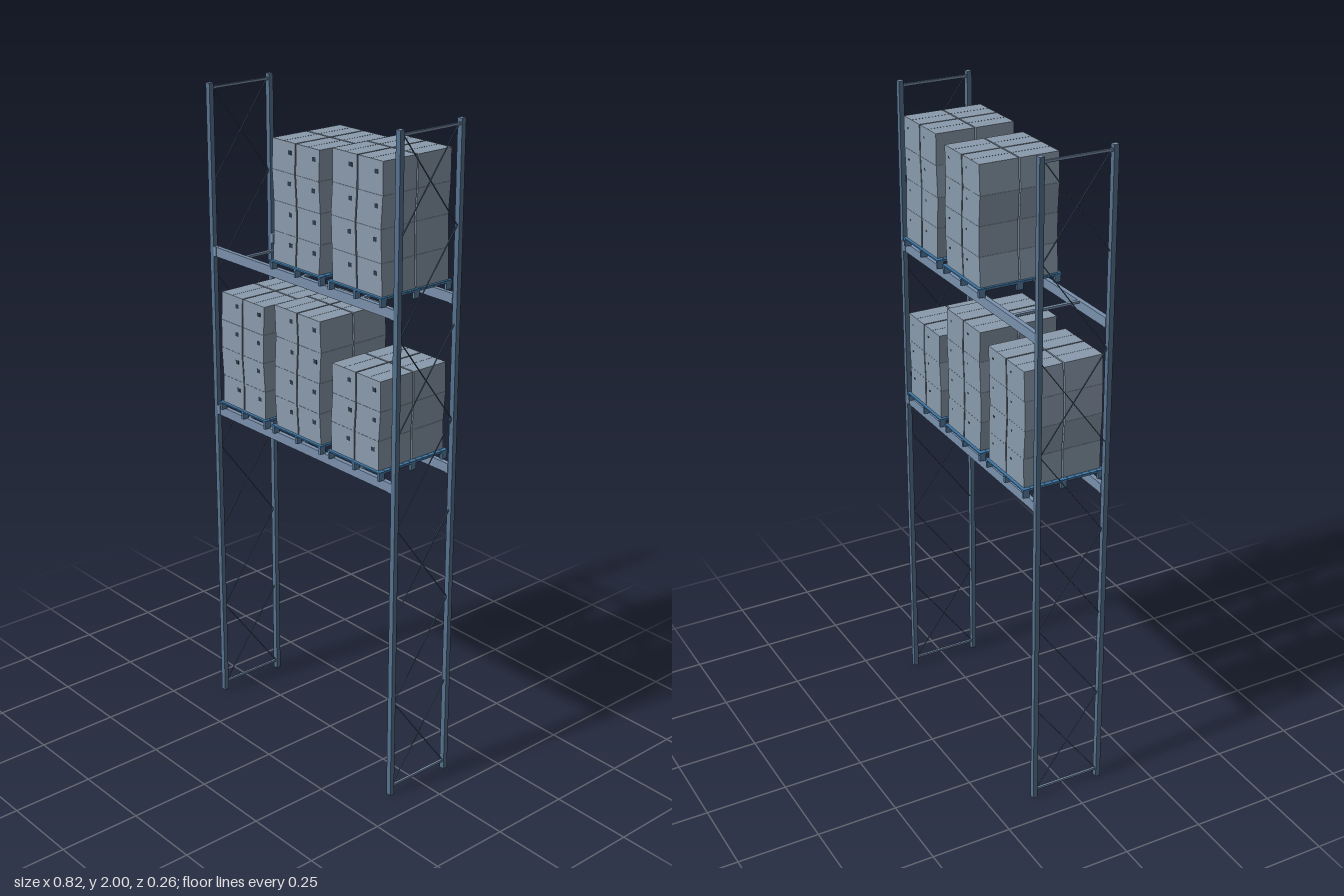
import * as THREE from 'three';

const paint = (color) => new THREE.MeshStandardMaterial({ color });
const cartonGrey = paint(0x8a9bac);
const beamBlue = paint(0x7990ac);
const postBlue = paint(0x56728e);
const deckBlue = paint(0x3f78a8);
const footBlue = paint(0x587fa3);
const dark = paint(0x2c3a48);

function block(parent, name, size, pos, material) {
  const mesh = new THREE.Mesh(new THREE.BoxGeometry(...size), material);
  mesh.name = name;
  mesh.position.set(...pos);
  parent.add(mesh);
  return mesh;
}

// Thin bar in the plane of an end frame, from (z0, y0) to (z1, y1)
function brace(parent, x, z0, y0, z1, y1) {
  const length = Math.hypot(z1 - z0, y1 - y0);
  const bar = block(parent, 'diagonalBrace', [0.003, 0.0025, length], [x, (y0 + y1) / 2, (z0 + z1) / 2], postBlue);
  bar.rotation.x = -Math.atan2(y1 - y0, z1 - z0);
}

// End frame: two posts, top and bottom ties, alternating crossed and single braces
function endFrame(x) {
  const frame = new THREE.Group();
  frame.name = 'endFrame';
  for (const z of [-0.11, 0.11]) {
    block(frame, 'upright', [0.017, 2, 0.015], [x, 1, z], postBlue);
    block(frame, 'uprightCap', [0.017, 0.001, 0.015], [x, 1.9996, z], beamBlue);
  }
  for (const y of [0.027, 1.985]) block(frame, 'tieBar', [0.007, 0.007, 0.208], [x, y, 0], beamBlue);
  for (let i = 0; i < 7; i++) {
    const y = 0.03 + i * 0.28;
    brace(frame, x, 0.103, y, -0.103, y + 0.28);
    if (i % 2 === 0) brace(frame, x, -0.103, y, 0.103, y + 0.28);
  }
  return frame;
}

// Shelf level: front and back beams with end brackets, plus cross bars
function shelf(top) {
  const level = new THREE.Group();
  level.name = 'shelfLevel';
  for (const z of [-0.109, 0.109]) {
    block(level, 'beam', [0.786, 0.029, 0.014], [0, top - 0.0145, z], beamBlue);
    for (const x of [-0.388, 0.388]) {
      block(level, 'beamBracket', [0.012, 0.03, 0.017], [x, top - 0.0145, z], beamBlue);
    }
  }
  for (const x of [-0.253, 0, 0.253]) {
    block(level, 'crossBar', [0.011, 0.007, 0.206], [x, top - 0.003, 0], beamBlue);
  }
  return level;
}

// Pallet: planked deck on three bearers and nine feet
function pallet() {
  const group = new THREE.Group();
  group.name = 'pallet';
  for (let i = 0; i < 11; i++) {
    block(group, 'deckPlank', [0.221, 0.004, 0.023], [0, 0.025, (i - 5) * 0.0242], deckBlue);
  }
  for (const x of [-0.105, 0, 0.105]) {
    block(group, 'bearer', [0.008, 0.004, 0.264], [x, 0.021, 0], footBlue);
    for (const z of [-0.121, 0, 0.121]) {
      block(group, 'foot', [0.008, 0.02, 0.02], [x, 0.01, z], footBlue);
    }
  }
  return group;
}

// Carton whose upper rim is shifted sideways relative to its lower rim
function carton(w, h, d, shiftLow, shiftHigh) {
  const group = new THREE.Group();
  group.name = 'carton';
  const body = block(group, 'cartonBody', [w, h, d], [0, h / 2, 0], cartonGrey);
  const p = body.geometry.attributes.position;
  for (let i = 0; i < p.count; i++) {
    p.setX(i, p.getX(i) + (p.getY(i) > 0 ? shiftHigh : shiftLow));
  }
  body.geometry.computeVertexNormals();
  block(group, 'topSeam', [0.001, 0.0008, d], [shiftHigh, h, 0], cartonGrey);
  return group;
}

// Stack of cartons, two by two in each layer, with a slight sideways wobble
function stack(layers, height, phase) {
  const group = new THREE.Group();
  group.name = 'cartonStack';
  const h = height / layers;
  const d = 0.1215;
  const shift = (k) => 0.004 * Math.sin(k * 1.9 + phase);
  for (let k = 0; k < layers; k++) {
    for (const x of [-0.0512, 0.0512]) {
      for (const side of [-1, 1]) {
        const c = carton(0.098, h - 0.0005, d, shift(k), shift(k + 1));
        c.position.set(x, k * h, side * 0.063);
        // Hand hole on the outer face, smaller at the back
        const size = side > 0 ? [0.014, 0.012, 0.0012] : [0.007, 0.005, 0.0012];
        block(c, 'handHole', size, [0.025 + shift(k + 1) * 0.7, h * 0.66, side * d / 2], dark);
        group.add(c);
      }
    }
  }
  return group;
}

export function createModel() {
  const model = new THREE.Group();
  model.name = 'palletRack';
  for (const x of [-0.402, 0.402]) model.add(endFrame(x));

  const levels = [1.01, 1.516];
  for (const y of levels) model.add(shelf(y));

  // Loads: shelf index, x, number of layers, stack height, wobble phase
  const loads = [
    [0, -0.253, 4, 0.352, 0.4], [0, 0, 4, 0.372, 2], [0, 0.251, 3, 0.265, 3.5],
    [1, 0, 4, 0.352, 5], [1, 0.251, 4, 0.368, 1.2],
  ];
  for (const [level, x, layers, height, phase] of loads) {
    const load = new THREE.Group();
    load.name = 'palletLoad';
    const cartons = stack(layers, height, phase);
    cartons.position.y = 0.0275;
    load.add(pallet(), cartons);
    load.position.set(x, levels[level], 0);
    model.add(load);
  }
  return model;
}
